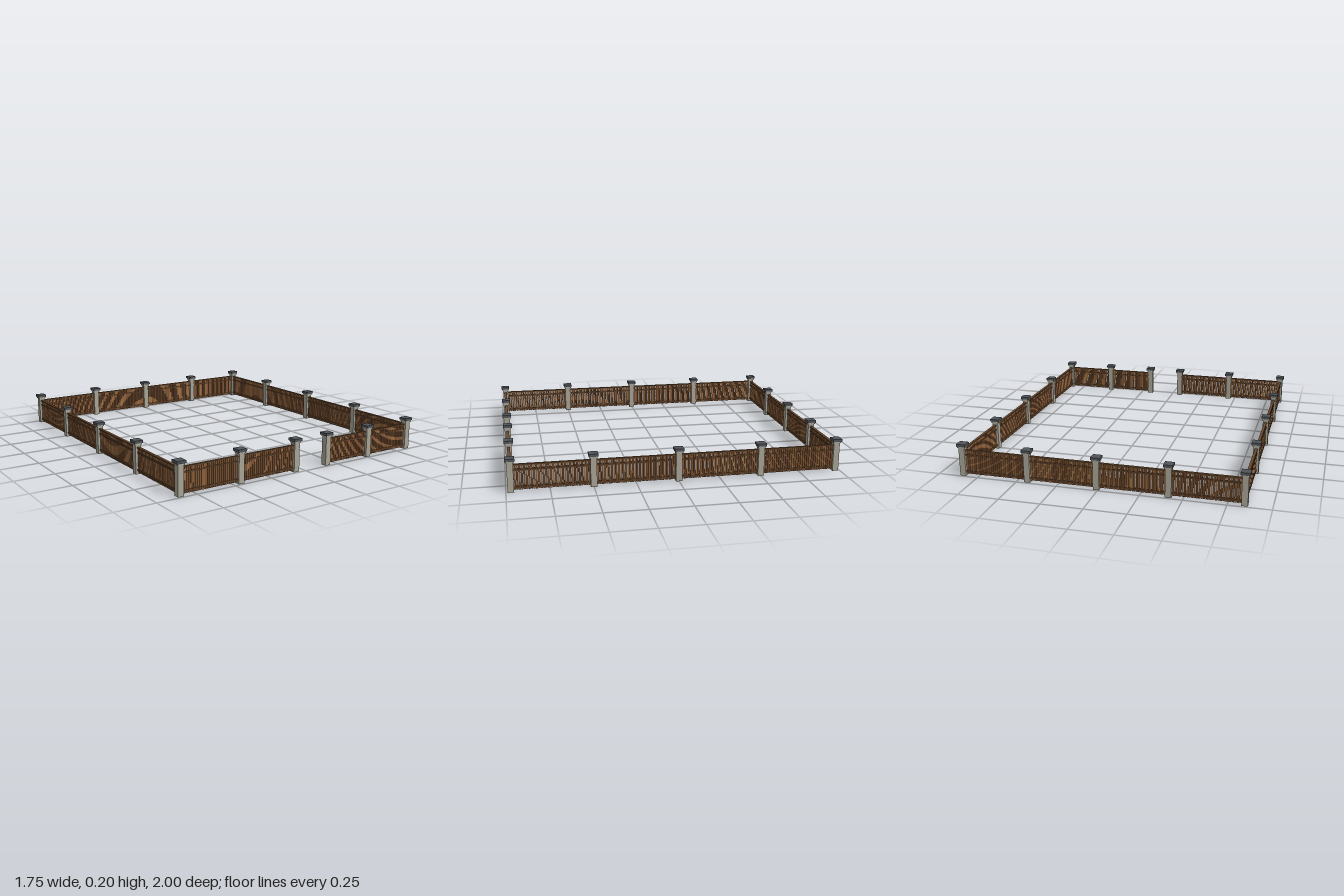
import * as THREE from 'three';
import { mergeGeometries } from 'three/addons/utils/BufferGeometryUtils.js';

const mat = (name, color) => {
  const m = new THREE.MeshStandardMaterial({ color });
  m.name = name;
  return m;
};

const box = (w, h, d, x, y, z) => new THREE.BoxGeometry(w, h, d).translate(x, y, z);

export function createModel() {
  const stone = mat('stone', 0xa8a496);
  const slate = mat('slate', 0x505459);
  const railWood = mat('dark rail wood', 0x5a3d26);
  const topWood = mat('top rail wood', 0x6b4a2e);
  const slatWoods = [
    mat('mid brown wood', 0x8c5f3a),
    mat('light brown wood', 0x9d6d44),
    mat('deep brown wood', 0x7a5132),
  ];

  const model = new THREE.Group();
  model.name = 'fence';

  const add = (parent, name, geometry, material) => {
    const mesh = new THREE.Mesh(geometry, material);
    mesh.name = name;
    parent.add(mesh);
  };

  let seed = 7;
  const random = () => (seed = (seed * 16807) % 2147483647) / 2147483647;

  // Square stone post with a collar and a flat slate cap
  const addPost = ([x, z]) => {
    const post = new THREE.Group();
    post.name = 'post';
    post.position.set(x, 0, z);
    add(post, 'postShaft', box(0.037, 0.178, 0.037, 0, 0.089, 0), stone);
    add(post, 'postCollar', box(0.046, 0.01, 0.046, 0, 0.181, 0), stone);
    add(post, 'postCap', box(0.056, 0.016, 0.056, 0, 0.194, 0), slate);
    model.add(post);
  };

  // Slatted panel between two neighbouring posts
  const addPanel = ([x0, z0], [x1, z1]) => {
    const panel = new THREE.Group();
    panel.name = 'panel';
    panel.position.set((x0 + x1) / 2, 0, (z0 + z1) / 2);
    panel.rotation.y = Math.atan2(z0 - z1, x1 - x0);
    const length = Math.hypot(x1 - x0, z1 - z0) - 0.036;

    add(panel, 'topRail', box(length, 0.008, 0.017, 0, 0.159, 0), topWood);
    add(panel, 'upperRail', box(length, 0.01, 0.014, 0, 0.13, 0), railWood);
    add(panel, 'lowerRail', box(length, 0.012, 0.014, 0, 0.025, 0), railWood);

    // Slats in three shades, merged by colour
    const slats = slatWoods.map(() => []);
    const count = Math.round(length / 0.0135);
    const pitch = length / count;
    for (let i = 0; i < count; i++) {
      const shade = Math.floor(random() * 3);
      const x = (i + 0.5) * pitch - length / 2;
      slats[shade].push(box(0.0108, 0.146, 0.007, x, 0.083, 0));
    }
    slats.forEach((list, i) => {
      if (list.length) add(panel, 'slats', mergeGeometries(list), slatWoods[i]);
    });
    model.add(panel);
  };

  // One run from the left side of the gateway all round to the right side
  const X = 0.846, Z = 0.972;
  const posts = [
    [-0.06, Z], [-0.452, Z], [-X, Z],
    [-X, 0.5], [-X, 0], [-X, -0.5], [-X, -Z],
    [-0.415, -Z], [0.01, -Z], [0.435, -Z], [X, -Z],
    [X, -0.5], [X, 0], [X, 0.5], [X, Z],
    [0.51, Z], [0.18, Z],
  ];
  posts.forEach((p, i) => {
    addPost(p);
    if (i > 0) addPanel(posts[i - 1], p);
  });

  return model;
}
